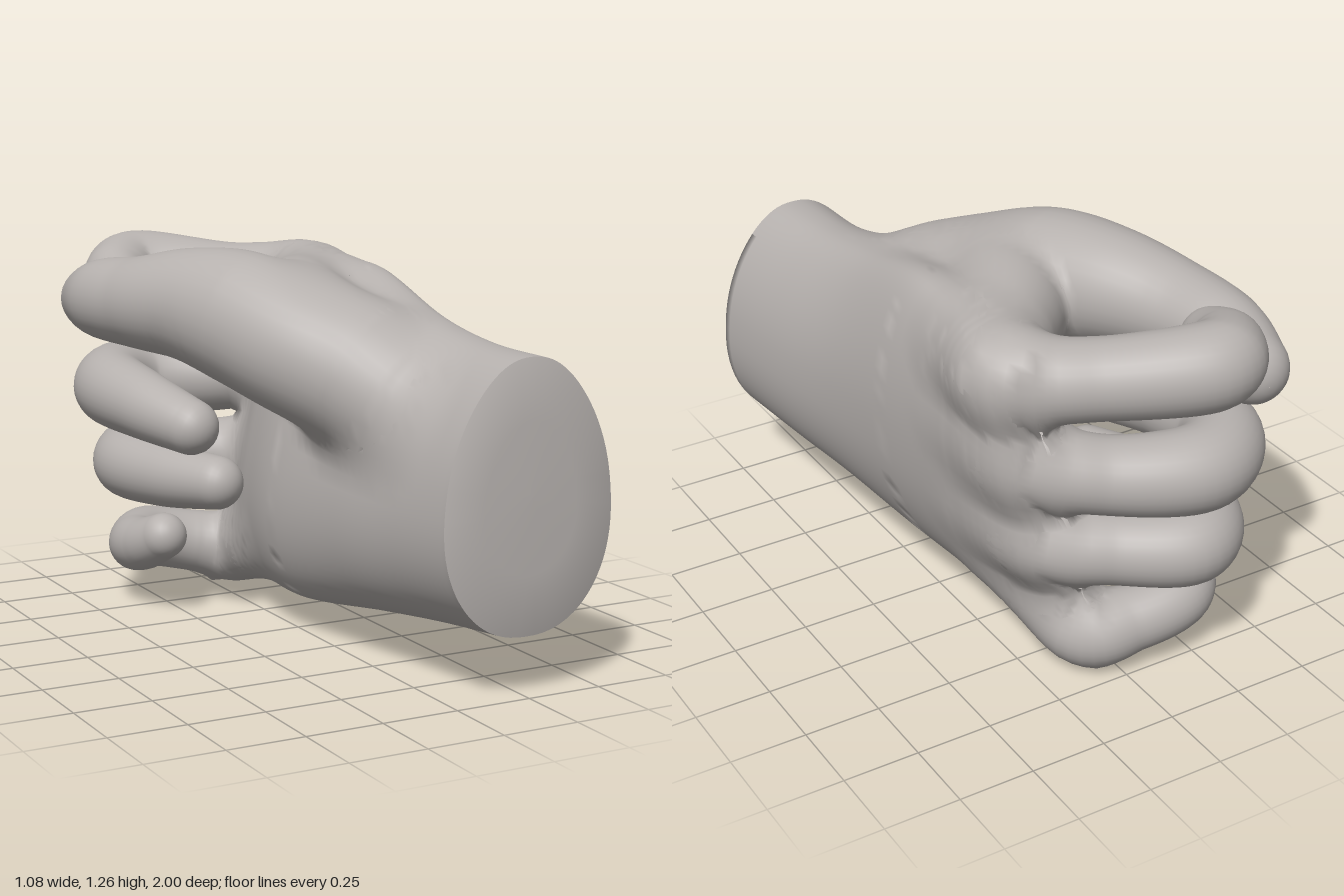
import * as THREE from 'three';

// Catmull-Rom through rows of numbers, n steps per span
function sample(rows, n) {
  const out = [];
  const last = rows.length - 1;
  for (let k = 0; k <= last * n; k++) {
    const i = Math.min(Math.floor(k / n), last - 1);
    const t = k / n - i;
    const [a, b, c, d] = [rows[Math.max(i - 1, 0)], rows[i], rows[i + 1], rows[Math.min(i + 2, last)]];
    out.push(b.map((_, j) => 0.5 * (2 * b[j] + (c[j] - a[j]) * t
      + (2 * a[j] - 5 * b[j] + 4 * c[j] - d[j]) * t * t
      + (3 * b[j] - a[j] - 3 * c[j] + d[j]) * t * t * t)));
  }
  return out;
}

// Smooth skin over a list of equal-sized closed rings of points
function skin(rings) {
  const m = rings[0].length;
  const index = [];
  for (let i = 0; i < rings.length - 1; i++) {
    for (let j = 0; j < m; j++) {
      const a = i * m + j, b = i * m + (j + 1) % m;
      index.push(a, b, b + m, a, b + m, a + m);
    }
  }
  const geometry = new THREE.BufferGeometry().setFromPoints(rings.flat());
  geometry.setIndex(index);
  geometry.computeVertexNormals();
  return geometry;
}

// Round-ended digit along sampled rows [x, y, z, radius]
function digit(rows) {
  const at = (i) => new THREE.Vector3(rows[i][0], rows[i][1], rows[i][2]);
  const end = rows.length - 1;
  const rings = [];
  const addRing = (i, push, scale) => {
    const tangent = at(Math.min(i + 1, end)).sub(at(Math.max(i - 1, 0))).normalize();
    const side = new THREE.Vector3(0, 1, 0).cross(tangent).normalize();
    const up = tangent.clone().cross(side);
    const r = rows[i][3];
    const centre = at(i).addScaledVector(tangent, push * r);
    rings.push(Array.from({ length: 32 }, (_, j) => {
      const a = (j / 32) * Math.PI * 2;
      return centre.clone()
        .addScaledVector(side, Math.cos(a) * r * scale)
        .addScaledVector(up, Math.sin(a) * r * scale);
    }));
  };
  const steps = 7;
  const quarter = (k) => (k / steps) * Math.PI * 0.499;
  for (let k = steps; k > 0; k--) addRing(0, -Math.sin(quarter(k)), Math.cos(quarter(k)));
  for (let i = 0; i <= end; i++) addRing(i, 0, 1);
  for (let k = 1; k <= steps; k++) addRing(end, Math.sin(quarter(k)), Math.cos(quarter(k)));
  return skin(rings);
}

// Distance to a digit, and how far along it the nearest spot is (0 to 1)
function digitDistance(rows, p) {
  let best = Infinity, along = 0;
  for (let i = 0; i < rows.length - 1; i++) {
    const a = rows[i], b = rows[i + 1];
    const x = b[0] - a[0], y = b[1] - a[1], z = b[2] - a[2];
    const dot = (p.x - a[0]) * x + (p.y - a[1]) * y + (p.z - a[2]) * z;
    const t = Math.min(1, Math.max(0, dot / (x * x + y * y + z * z)));
    const d = Math.hypot(p.x - a[0] - x * t, p.y - a[1] - y * t, p.z - a[2] - z * t)
      - a[3] - (b[3] - a[3]) * t;
    if (d < best) [best, along] = [d, (i + t) / (rows.length - 1)];
  }
  return [best, along];
}

// Rounded, leaning palm section, narrower above: [z, cx, cy, rx, ry, lean, taper]
const TILT = 0.035, MID = 0.62, ROUND = 0.86;
const narrow = (v, taper) => 1 - 0.6 * taper * v * (1 + v);
function palmRing([z, cx, cy, rx, ry, lean, taper], scale = 1) {
  const round = (v) => Math.sign(v) * Math.pow(Math.abs(v), ROUND);
  return Array.from({ length: 80 }, (_, j) => {
    const a = (j / 80) * Math.PI * 2;
    const v = round(Math.sin(a));
    const dy = v * ry * scale;
    const x = cx - round(Math.cos(a)) * rx * scale * narrow(v, taper) + lean * dy;
    return new THREE.Vector3(x, cy + dy, z - (cy + dy - MID) * TILT);
  });
}

// Approximate distance to the palm
function palmDistance(rows, p) {
  const z = p.z + (p.y - MID) * TILT;
  let i = 0;
  while (i < rows.length - 2 && rows[i + 1][0] > z) i++;
  const t = Math.min(1, Math.max(0, (rows[i][0] - z) / (rows[i][0] - rows[i + 1][0])));
  const [endZ, cx, cy, rx, ry, lean, taper] = rows[i].map((v, j) => v + (rows[i + 1][j] - v) * t);
  const dy = p.y - cy;
  const width = rx * narrow(Math.min(1, Math.max(-1, dy / ry)), taper);
  const u = Math.abs(p.x - cx - lean * dy) / width, v = Math.abs(dy) / ry;
  const n = 2 / ROUND;
  const f = Math.max(Math.pow(u ** n + v ** n, 1 / n), 0.01);
  const slope = Math.hypot((u / f) ** (n - 1) / width, (v / f) ** (n - 1) / ry);
  const d = (f - 1) / slope;
  return z < endZ ? Math.hypot(Math.max(d, 0), endZ - z) : d;
}

// Rounded union of two distances
function blend(a, b, k) {
  const h = Math.max(k - Math.abs(a - b), 0) / k;
  return Math.min(a, b) - h * h * k / 4;
}

// Draw a skin onto the blended surface so that parts flow into each other
function melt(geometry, field) {
  const position = geometry.attributes.position, normal = geometry.attributes.normal;
  const p = new THREE.Vector3(), g = new THREE.Vector3(), q = new THREE.Vector3();
  const e = 0.004;
  const slope = () => {
    for (const axis of ['x', 'y', 'z']) {
      q.copy(p)[axis] += e;
      const ahead = field(q);
      q[axis] -= 2 * e;
      g[axis] = (ahead - field(q)) / (2 * e);
    }
  };
  for (let i = 0; i < position.count; i++) {
    p.fromBufferAttribute(position, i);
    if (field(p) < -0.045) continue;
    for (let step = 0; step < 3; step++) {
      slope();
      p.addScaledVector(g, -field(p) / Math.max(g.lengthSq(), 0.3));
    }
    slope();
    g.normalize();
    position.setXYZ(i, p.x, p.y, p.z);
    normal.setXYZ(i, g.x, g.y, g.z);
  }
  return geometry;
}

export function createModel() {
  const group = new THREE.Group();
  const skinTone = new THREE.MeshStandardMaterial({ color: 0xb6b1ae });
  skinTone.name = 'warm grey';
  const add = (name, geometry) => {
    const mesh = new THREE.Mesh(geometry, skinTone);
    mesh.name = name;
    group.add(mesh);
  };

  // Wrist, palm and knuckle row
  const sections = [
    [0.98, 0.25, 0.605, 0.288, 0.415, 0.03, 0.22], [0.7, 0.225, 0.6, 0.282, 0.43, 0.06, 0.25],
    [0.4, 0.2, 0.61, 0.275, 0.47, 0.11, 0.3], [0.0, 0.19, 0.635, 0.262, 0.545, 0.18, 0.3],
    [-0.3, 0.2, 0.635, 0.21, 0.545, 0.2, 0.2], [-0.48, 0.215, 0.63, 0.16, 0.53, 0.24, 0.08],
    [-0.6, 0.215, 0.62, 0.115, 0.49, 0.27, 0], [-0.655, 0.2, 0.615, 0.065, 0.45, 0.27, 0],
    [-0.67, 0.2, 0.615, 0.003, 0.42, 0.27, 0],
  ];
  const palm = sample(sections, 8);

  // Flesh between thumb and index finger
  const web = sample([[0.07, 0.92, 0.3, 0.185], [0, 0.995, 0.06, 0.205], [0.05, 1.025, -0.1, 0.19],
    [0.18, 1.045, -0.3, 0.157], [0.28, 1.06, -0.5, 0.13]], 8);
  const core = (p) => blend(palmDistance(palm, p), digitDistance(web, p)[0], 0.1);

  // Thumb and curled fingers, each running from inside the palm to its tip
  const digits = {
    thumb: [
      [0.14, 0.77, 0.62, 0.15], [0.045, 0.865, 0.4, 0.205], [-0.09, 0.96, 0.2, 0.215],
      [-0.18, 1.035, 0.0, 0.217], [-0.27, 1.065, -0.2, 0.186], [-0.36, 1.055, -0.4, 0.155],
      [-0.4, 1.045, -0.62, 0.138], [-0.375, 1.025, -0.81, 0.112],
    ],
    indexFinger: [
      [0.28, 1.03, -0.28, 0.08], [0.295, 1.07, -0.57, 0.128], [0.09, 1.08, -0.725, 0.125],
      [-0.17, 1.11, -0.865, 0.135], [-0.29, 1.1, -0.79, 0.118], [-0.33, 1.07, -0.665, 0.098],
    ],
    middleFinger: [
      [0.25, 0.8, -0.28, 0.09], [0.25, 0.78, -0.57, 0.128], [0.06, 0.735, -0.71, 0.122],
      [-0.2, 0.735, -0.815, 0.137], [-0.365, 0.735, -0.68, 0.132], [-0.36, 0.71, -0.42, 0.115],
      [-0.29, 0.665, -0.2, 0.092],
    ],
    ringFinger: [
      [0.2, 0.5, -0.28, 0.09], [0.195, 0.485, -0.57, 0.125], [0.02, 0.465, -0.71, 0.118],
      [-0.18, 0.47, -0.815, 0.127], [-0.31, 0.465, -0.67, 0.122], [-0.28, 0.465, -0.42, 0.11],
      [-0.2, 0.47, -0.2, 0.09],
    ],
    littleFinger: [
      [0.12, 0.24, -0.28, 0.08], [0.085, 0.135, -0.6, 0.122], [-0.06, 0.155, -0.68, 0.108],
      [-0.23, 0.19, -0.69, 0.105], [-0.325, 0.2, -0.58, 0.096], [-0.34, 0.225, -0.46, 0.088],
      [-0.325, 0.272, -0.35, 0.077],
    ],
  };
  const fields = Object.entries(digits).map(([name, points]) => {
    const rows = sample(points, 10);
    const field = (p) => {
      const [d, along] = digitDistance(rows, p);
      return blend(core(p), d, Math.max(0.14 * (1 - 1.3 * along), 0.002));
    };
    add(name, melt(digit(rows), field));
    return field;
  });
  const whole = (p) => Math.min(...fields.map((field) => field(p)));
  add('palm', melt(skin(palm.map((s) => palmRing(s))), whole));
  add('thumbWeb', melt(digit(web), whole));

  // Closed end of the wrist, with a softly turned rim
  const [z, ...rest] = sections[0];
  const rings = [[0.012, 0.002], [0.01, 0.55], [0, 1], [-0.03, 0.995]];
  add('wristEnd', skin(rings.map(([dz, s]) => palmRing([z + dz, ...rest], s))));

  return group;
}
